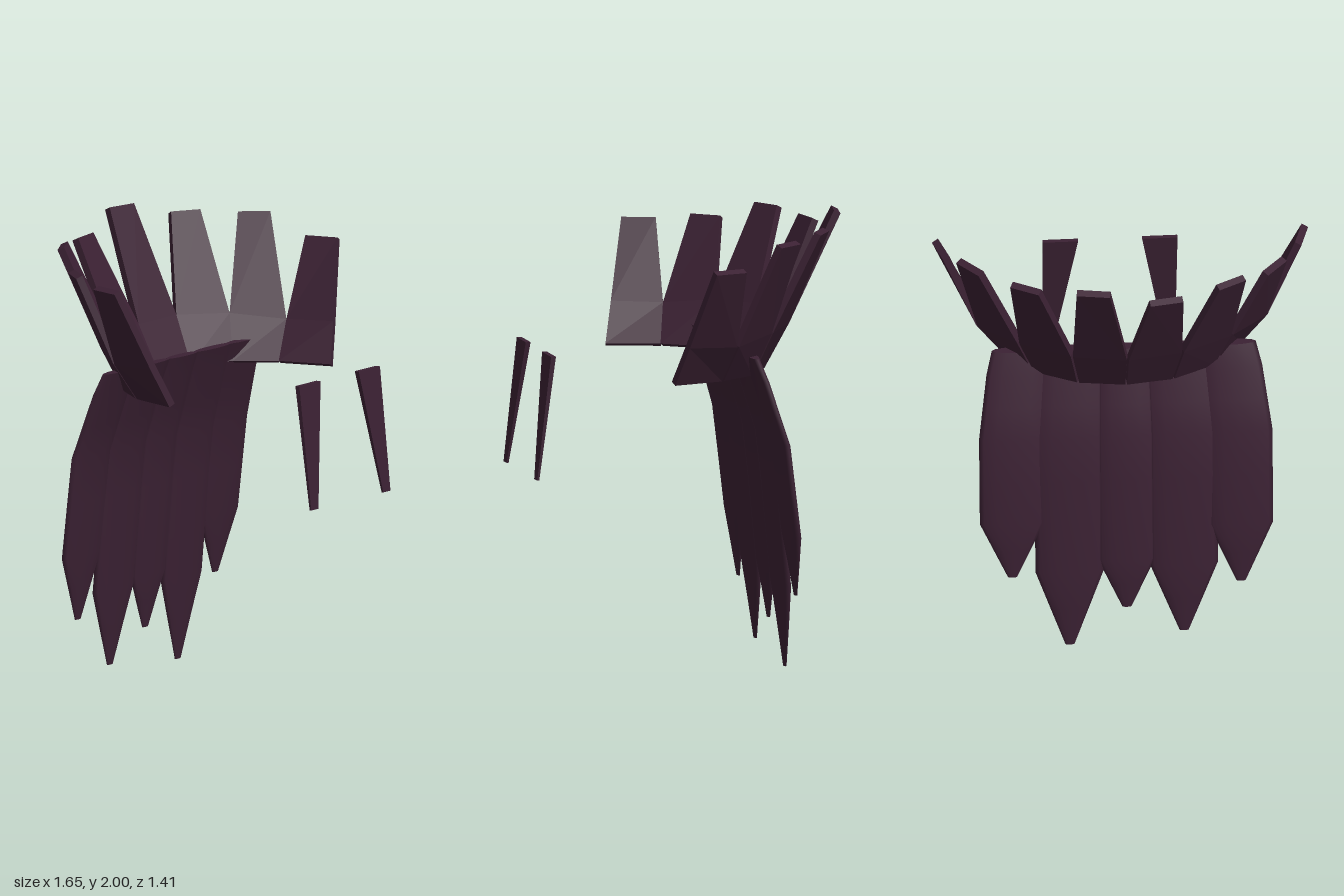
import * as THREE from 'three';

const V = (x, y, z) => new THREE.Vector3(x, y, z);

// Linear interpolation in a table of [y, value] rows, y descending
function lookup(table, y) {
  for (let i = 0; i < table.length - 1; i++) {
    const [y0, v0] = table[i], [y1, v1] = table[i + 1];
    if (y >= y1) return v0 + (v1 - v0) * (y0 - y) / (y0 - y1);
  }
  return table[table.length - 1][1];
}

// Flat plate: inner outline extruded along the outward side
function plate(points, thickness) {
  const n = V(0, 0, 0).crossVectors(
    points[1].clone().sub(points[0]),
    points[points.length - 2].clone().sub(points[0])).normalize();
  const outer = points.map(p => p.clone().addScaledVector(n, -thickness));
  const pos = [];
  const tri = (...ps) => ps.forEach(p => pos.push(p.x, p.y, p.z));
  const faces = [[0, 1, 2], [0, 2, 5], [5, 2, 3], [5, 3, 4]];
  for (const [a, b, c] of faces) {
    tri(points[a], points[b], points[c]);
    tri(outer[a], outer[c], outer[b]);
  }
  points.forEach((p, i) => {
    const j = (i + 1) % points.length;
    tri(p, outer[i], outer[j]);
    tri(p, outer[j], points[j]);
  });
  const g = new THREE.BufferGeometry();
  g.setAttribute('position', new THREE.Float32BufferAttribute(pos, 3));
  g.computeVertexNormals();
  return g;
}

// Cape side profile and width scale by height
const CAPE_Z = [[1.41, -0.215], [1.31, -0.252], [1.03, -0.338], [0.6, -0.39], [0.3, -0.41], [0, -0.424]];
const CAPE_WIDTH = [[1.41, 0.9], [1.31, 0.94], [1.03, 1], [0, 1]];

// Feather-like cape strip with a lens-shaped section and a pointed end
function capePanel(x, halfWidth, shoulderY, tipY) {
  const N = 12, pos = [], index = [];
  const rows = [1.41, 1.31, 1.17, 1.03, 0.82, shoulderY, (shoulderY + tipY) / 2, tipY];
  rows.forEach(y => {
    const k = Math.max(0, (shoulderY - y) / (shoulderY - tipY));
    const s = lookup(CAPE_WIDTH, y);
    const w = halfWidth * s * (1 - k) + 0.02 * k;
    const t = 0.026 * (1 - k) + 0.006 * k;
    for (let j = 0; j < N; j++) {
      const a = j / N * Math.PI * 2;
      pos.push(x * s + w * Math.cos(a), y, lookup(CAPE_Z, y) + t * Math.sin(a));
    }
  });
  for (let i = 0; i < rows.length - 1; i++) {
    for (let j = 0; j < N; j++) {
      const a = i * N + j, b = i * N + (j + 1) % N;
      index.push(a, b, a + N, b, b + N, a + N);
    }
  }
  // Separate end caps keep the rims sharp
  const capRow = (row, top) => {
    const start = pos.length / 3;
    pos.push(...pos.slice(row * N * 3, (row + 1) * N * 3));
    for (let j = 1; j < N - 1; j++) {
      if (top) index.push(start, start + j + 1, start + j);
      else index.push(start, start + j, start + j + 1);
    }
  };
  capRow(0, true);
  capRow(rows.length - 1, false);
  const g = new THREE.BufferGeometry();
  g.setAttribute('position', new THREE.Float32BufferAttribute(pos, 3));
  g.setIndex(index);
  g.computeVertexNormals();
  return g;
}

export function createModel() {
  const model = new THREE.Group();
  model.name = 'collaredCape';
  const cloth = new THREE.MeshStandardMaterial({ color: 0x3b2133 });
  cloth.name = 'dark plum cloth';
  const add = (parent, name, geometry) => {
    const m = new THREE.Mesh(geometry, cloth);
    m.name = name;
    parent.add(m);
  };

  // Collar: four spikes per side sharing base corners and notches, back to front
  const collar = new THREE.Group();
  collar.name = 'collar';
  model.add(collar);
  const Y = 1.325;
  const base = [V(0, Y, -0.345), V(0.2, Y, -0.315), V(0.38, Y, -0.22), V(0.5, Y, -0.06), V(0.57, Y, 0.17)];
  const notch = [V(0, 1.52, -0.45), V(0.235, 1.53, -0.42), V(0.45, 1.52, -0.29), V(0.61, 1.49, -0.1), V(0.65, 1.5, 0.125)];
  const tips = [
    [V(0.09, 2, -0.675), V(0.235, 2, -0.65)],
    [V(0.385, 1.95, -0.56), V(0.505, 1.95, -0.49)],
    [V(0.625, 1.935, -0.375), V(0.715, 1.935, -0.265)],
    [V(0.755, 1.84, -0.105), V(0.795, 1.84, 0.04)],
  ];
  const heights = { 1: [2, 1.95, 1.935, 1.84], '-1': [1.92, 1.935, 1.865, 1.845] };
  for (const side of [1, -1]) {
    tips.forEach(([tipA, tipB], i) => {
      // Shorter spikes end earlier along their own slope
      const root = base[i].clone().add(base[i + 1]).multiplyScalar(0.5);
      const mid = tipA.clone().add(tipB).multiplyScalar(0.5);
      const k = (heights[side][i] - mid.y) / (mid.y - root.y);
      const shift = mid.clone().sub(root).multiplyScalar(k);
      let pts = [base[i], base[i + 1], notch[i + 1], tipB.clone().add(shift), tipA.clone().add(shift), notch[i]];
      if (side < 0) {
        pts = [1, 0, 5, 4, 3, 2].map(q => V(-pts[q].x, pts[q].y, pts[q].z));
      }
      add(collar, (side > 0 ? 'left' : 'right') + 'CollarSpike' + (i + 1), plate(pts, 0.032));
    });
  }

  // Cape: five overlapping strips with uneven points
  const cape = new THREE.Group();
  cape.name = 'cape';
  model.add(cape);
  [
    [-0.5, 0.142, 0.58, 0.29],
    [-0.25, 0.15, 0.39, 0.05],
    [0, 0.125, 0.42, 0.18],
    [0.25, 0.15, 0.37, 0],
    [0.5, 0.142, 0.62, 0.35],
  ].forEach((p, i) => add(cape, 'capePanel' + (i + 1), capePanel(...p)));

  // Front lapels: tapered slabs, narrow end down
  for (const side of [1, -1]) {
    const g = new THREE.BoxGeometry(1, 1, 1);
    const p = g.attributes.position;
    for (let i = 0; i < p.count; i++) {
      const top = p.getY(i) > 0, outer = p.getX(i) * side > 0, front = p.getZ(i) > 0;
      const x = top ? (outer ? 0.295 : 0.14) : (outer ? 0.29 : 0.237);
      const z = top ? (front ? 0.643 : 0.621) : (front ? 0.704 : 0.695);
      p.setXYZ(i, x * side, top ? 1.412 : 0.867, z);
    }
    const flat = g.toNonIndexed();
    flat.computeVertexNormals();
    add(model, side > 0 ? 'leftLapel' : 'rightLapel', flat);
  }
  return model;
}
